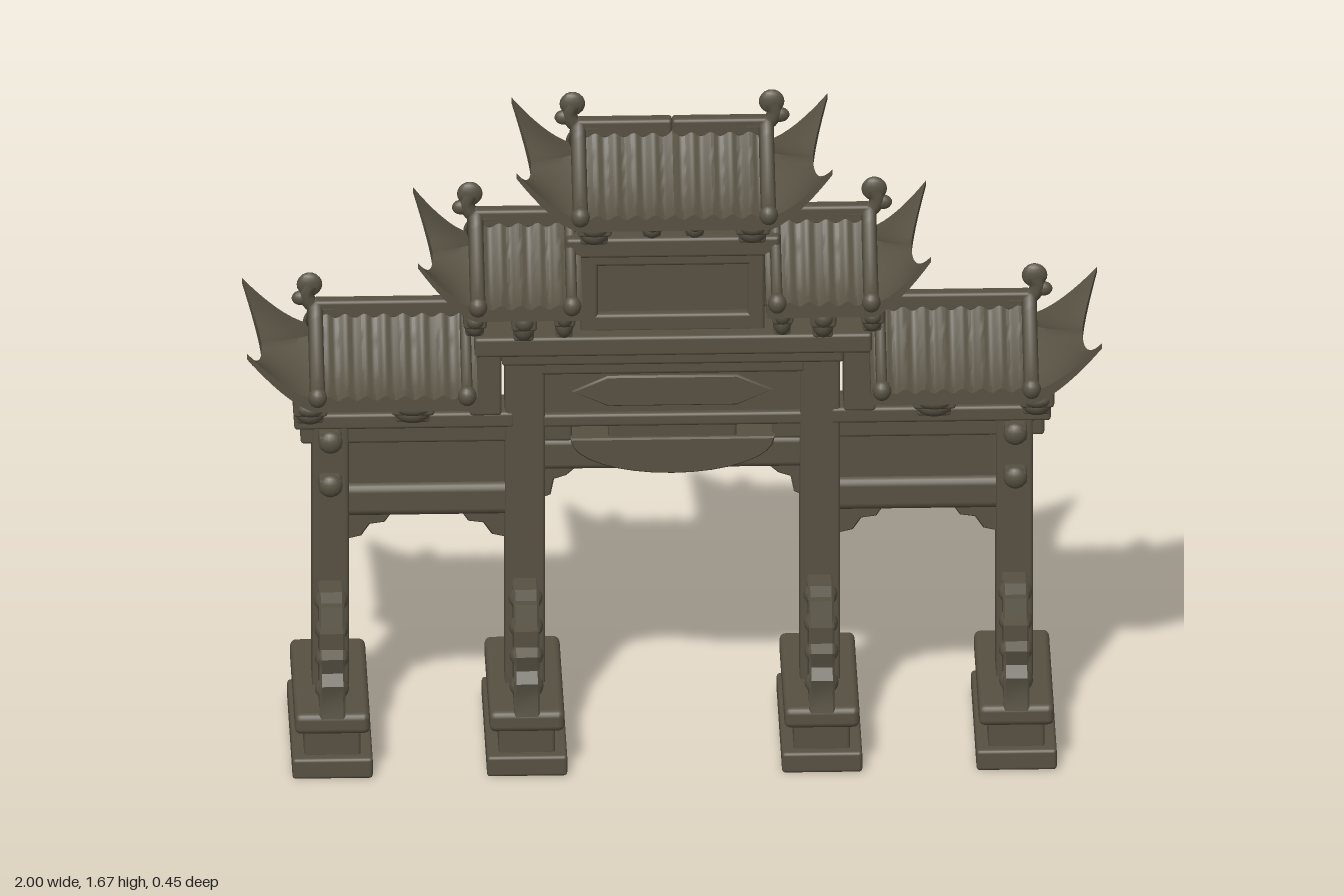
import * as THREE from 'three';
import { toCreasedNormals } from 'three/addons/utils/BufferGeometryUtils.js';
import { RoundedBoxGeometry } from 'three/addons/geometries/RoundedBoxGeometry.js';

const stone = new THREE.MeshStandardMaterial({ color: 0x575142 });
stone.name = 'weatheredStone';

function add(parent, name, geometry, x = 0, y = 0, z = 0) {
  const mesh = new THREE.Mesh(geometry, stone);
  mesh.name = name;
  mesh.position.set(x, y, z);
  parent.add(mesh);
  return mesh;
}

// Worn block given by its x and y limits and half depth
function block(parent, name, x0, x1, y0, y1, hz, r = 0.008) {
  const g = new RoundedBoxGeometry(x1 - x0, y1 - y0, hz * 2, 2, r);
  return add(parent, name, g, (x0 + x1) / 2, (y0 + y1) / 2, 0);
}

function knob(parent, name, x, y, z, sx, sy, sz) {
  const m = add(parent, name, new THREE.SphereGeometry(1, 14, 10), x, y, z);
  m.scale.set(sx, sy, sz);
  return m;
}

// Outline in x, y extruded evenly about z = 0
function plate(parent, name, points, hz) {
  const shape = new THREE.Shape(points.map(p => new THREE.Vector2(...p)));
  const g = new THREE.ExtrudeGeometry(shape, { depth: hz * 2 - 0.01, bevelSize: 0.004, bevelThickness: 0.005, bevelSegments: 1 });
  g.translate(0, 0, -hz + 0.005);
  return add(parent, name, toCreasedNormals(g, 0.6), 0, 0, 0);
}

// Skin over rings whose first half runs along the top and second half back below
function loft(rings) {
  const R = rings[0].length, S = rings.length, idx = [];
  const id = (s, i) => s * R + (i % R);
  for (let s = 0; s < S - 1; s++)
    for (let i = 0; i < R; i++)
      idx.push(id(s, i), id(s, i + 1), id(s + 1, i), id(s, i + 1), id(s + 1, i + 1), id(s + 1, i));
  for (let i = 0; i < R / 2 - 1; i++) {
    const j = R - 1 - i, e = S - 1;
    idx.push(id(0, i), id(0, j), id(0, i + 1), id(0, i + 1), id(0, j), id(0, j - 1));
    idx.push(id(e, i), id(e, i + 1), id(e, j), id(e, i + 1), id(e, j - 1), id(e, j));
  }
  const g = new THREE.BufferGeometry();
  g.setAttribute('position', new THREE.Float32BufferAttribute(rings.flat(2), 3));
  g.setIndex(idx);
  return toCreasedNormals(g, 0.7);
}

// Half of a hip-and-gable roof: ribbed slopes to the gable, then a skirt with upswept corners
function halfRoof(parent, inner, gable, tip, eave) {
  const W = 0.205, N = 20, rise = 0.14;
  const slope = s => Math.pow(1 - s, 1.4);
  const ring = (x, skirt) => {
    const d = skirt ? (x - gable) / (tip - gable) : 0, top = [], under = [];
    for (let i = 0; i <= N; i++) {
      const z = W * (2 * i / N - 1), s = Math.min(1, Math.abs(z) / W);
      const lift = 0.12 * Math.pow(d, 1.5) * (0.15 + 0.85 * s * s);
      const px = x - 0.04 * d * (1 - s * s);
      const rib = skirt ? 0 : 0.006 * Math.cos(x * Math.PI * 2 / 0.045);
      const h = skirt ? 0.07 * (1 - 0.6 * d) : rise;
      top.push([px, eave + h * slope(s) + lift + rib, z]);
      under.unshift([px, eave - 0.035 * (1 - 0.6 * d) + 0.03 * (1 - s * s) * (1 - d) + lift, z]);
    }
    return top.concat(under);
  };
  const rings = [];
  const steps = Math.round((gable - inner) / 0.0075);
  for (let i = 0; i <= steps; i++) rings.push(ring(inner + (gable - inner) * i / steps, false));
  for (let i = 0; i <= 8; i++) rings.push(ring(gable + 0.002 + (tip - gable - 0.002) * i / 8, true));
  add(parent, 'roofTiles', loft(rings));

  // Main ridge
  block(parent, 'roofRidge', inner, gable, eave + 0.115, eave + 0.162, 0.017);

  // Sloping gable ridges with rounded ends
  for (const x of inner > 0 ? [gable - 0.005, inner + 0.025] : [gable - 0.005]) {
    const r = x > inner + 0.1 ? 0.018 : 0.013, pts = [];
    for (let i = -6; i <= 6; i++) pts.push(new THREE.Vector3(x, eave + 0.008 + rise * slope(Math.abs(i) / 6), i / 6 * 0.21));
    add(parent, 'gableRidge', new THREE.TubeGeometry(new THREE.CatmullRomCurve3(pts), 32, r, 8));
    for (const z of [-0.208, 0.208]) knob(parent, 'gableRidgeEnd', x, eave + 0.005, z, 0.022, 0.025, 0.02);
  }

  // Curled finial on the ridge end
  const curl = new THREE.CatmullRomCurve3([[-0.05, 0.14], [0, 0.145], [0.015, 0.175], [0.005, 0.2]]
    .map(p => new THREE.Vector3(gable + p[0], eave + p[1], 0)));
  add(parent, 'ridgeFinial', new THREE.TubeGeometry(curl, 14, 0.018, 8));
  knob(parent, 'finialHead', gable + 0.008, eave + 0.2, 0, 0.03, 0.03, 0.014);
  knob(parent, 'finialCurl', gable + 0.028, eave + 0.165, 0, 0.022, 0.018, 0.014);
}

// Bracket cluster carrying the eaves
function eaveBracket(parent, x, y0, y1, w, reach) {
  const h = y1 - y0;
  block(parent, 'bracketPost', x - w * 0.3, x + w * 0.3, y0 - 0.01, y1 + 0.05, 0.05);
  block(parent, 'bracketLowerArm', x - w * 0.4, x + w * 0.4, y0, y0 + h * 0.5, reach * 0.68);
  block(parent, 'bracketUpperArm', x - w / 2, x + w / 2, y0 + h * 0.5, y1 + 0.015, reach);
  for (const z of [-1, 1]) {
    knob(parent, 'bracketScroll', x, y0 + h * 0.45, z * reach * 0.72, w * 0.45, h * 0.36, 0.035);
    knob(parent, 'bracketTip', x, y0 + h * 0.75, z * reach * 0.95, w * 0.4, h * 0.25, 0.022);
  }
}

// Stepped base, post and scalloped bracing stones
function pillar(parent, x, hw, top) {
  block(parent, 'baseSlab', x - 0.094, x + 0.094, 0, 0.052, 0.22);
  block(parent, 'baseWaist', x - 0.066, x + 0.066, 0.045, 0.12, 0.195);
  block(parent, 'baseCap', x - 0.088, x + 0.088, 0.11, 0.162, 0.212, 0.015);
  block(parent, 'pillarPost', x - hw, x + hw, 0.15, top, 0.05);
  const edge = [[0.11, 0.43], [0.118, 0.405], [0.14, 0.405], [0.15, 0.36], [0.178, 0.355], [0.177, 0.315],
    [0.2, 0.3], [0.192, 0.262], [0.208, 0.235], [0.2, 0.2], [0.208, 0.155]];
  const outline = edge.concat(edge.map(p => [-p[0], p[1]]).reverse());
  plate(parent, 'bracingStone', outline, 0.03).rotation.y = Math.PI / 2;
  parent.children.at(-1).position.x = x;
  for (const z of [-1, 1]) {
    [[0.085, 0.4], [0.125, 0.345], [0.155, 0.285], [0.165, 0.21]].forEach(([k, y]) =>
      knob(parent, 'bracingScroll', x, y, z * k, 0.04, 0.034, 0.034));
  }
}

// Everything on the +x side; the same half turned about y makes the other
function half() {
  const g = new THREE.Group();
  pillar(g, 0.8, 0.043, 0.86);
  pillar(g, 0.345, 0.047, 1.05);

  // Side bay beams
  block(g, 'sideTopBeam', 0.37, 0.885, 0.825, 0.865, 0.052);
  block(g, 'sideUpperBeam', 0.37, 0.87, 0.785, 0.835, 0.044);
  block(g, 'sidePanel', 0.37, 0.79, 0.65, 0.8, 0.025);
  block(g, 'sideLowerBeam', 0.37, 0.79, 0.592, 0.675, 0.042, 0.02);
  plate(g, 'outerSpandrel', [[0.77, 0.61], [0.65, 0.61], [0.675, 0.575], [0.71, 0.57], [0.73, 0.54], [0.77, 0.53]], 0.026);
  plate(g, 'innerSpandrel', [[0.38, 0.61], [0.38, 0.53], [0.42, 0.54], [0.44, 0.57], [0.475, 0.575], [0.5, 0.61]], 0.026);
  plate(g, 'centreSpandrel', [[0.31, 0.73], [0.22, 0.715], [0.25, 0.69], [0.28, 0.68], [0.288, 0.64], [0.31, 0.63]], 0.026);
  for (const y of [0.695, 0.808]) {
    block(g, 'beamTenon', 0.775, 0.828, y - 0.018, y + 0.018, 0.09);
    for (const z of [-0.082, 0.082]) knob(g, 'tenonHead', 0.801, y, z, 0.028, 0.028, 0.018);
  }

  // Half of the centre beam ends beside the slots
  block(g, 'slotEnd', 0.235, 0.31, 0.78, 0.84, 0.035);

  // Three roof tiers with their brackets
  halfRoof(g, 0.46, 0.84, 1.0, 0.98);
  eaveBracket(g, 0.85, 0.865, 0.945, 0.08, 0.15);
  eaveBracket(g, 0.61, 0.865, 0.945, 0.1, 0.15);
  block(g, 'lowerRoofSupport', 0.4, 0.475, 0.86, 1.05, 0.06);
  halfRoof(g, 0.215, 0.465, 0.6, 1.21);
  eaveBracket(g, 0.465, 1.09, 1.175, 0.055, 0.16);
  eaveBracket(g, 0.35, 1.075, 1.175, 0.06, 0.16);
  eaveBracket(g, 0.255, 1.075, 1.175, 0.05, 0.14);
  block(g, 'middleRoofWall', 0.2, 0.43, 1.12, 1.22, 0.03);
  halfRoof(g, 0, 0.225, 0.37, 1.44);
  eaveBracket(g, 0.185, 1.32, 1.405, 0.08, 0.15);
  eaveBracket(g, 0.05, 1.335, 1.405, 0.055, 0.14);

  // Plaque frame side
  block(g, 'plaqueSideFrame', 0.175, 0.215, 1.07, 1.3, 0.062);
  return g;
}

export function createModel() {
  const model = new THREE.Group();
  model.name = 'memorialGateway';
  const right = half(), left = half();
  left.name = 'leftHalf';
  right.name = 'rightHalf';
  right.rotation.y = Math.PI;
  model.add(left, right);

  // Centre bay: lower beam with carved swag, slots, panelled beam and lintel
  block(model, 'centreLowerBeam', -0.31, 0.31, 0.705, 0.785, 0.036, 0.015);
  const swag = [];
  for (let i = 0; i <= 16; i++) {
    const a = Math.PI * i / 16;
    swag.push([-0.235 * Math.cos(a), 0.79 - 0.085 * Math.sin(a)]);
  }
  plate(model, 'carvedSwag', swag, 0.052);
  block(model, 'slotCentre', -0.15, 0.15, 0.77, 0.84, 0.04);
  block(model, 'centrePanel', -0.31, 0.31, 0.82, 1.04, 0.032);
  block(model, 'centrePanelLowerRail', -0.31, 0.31, 0.822, 0.855, 0.047);
  block(model, 'centrePanelUpperRail', -0.31, 0.31, 0.96, 1.0, 0.052);
  plate(model, 'centrePanelCarving', [[-0.23, 0.91], [-0.15, 0.875], [0.15, 0.875], [0.23, 0.91], [0.15, 0.945], [-0.15, 0.945]], 0.04);
  block(model, 'lintelMoulding', -0.4, 0.4, 0.995, 1.04, 0.075);
  block(model, 'lintel', -0.465, 0.465, 1.03, 1.08, 0.1);

  // Plaque below the top roof
  block(model, 'plaquePanel', -0.2, 0.2, 1.07, 1.31, 0.042);
  block(model, 'plaqueLowerFrame', -0.215, 0.215, 1.075, 1.12, 0.062);
  block(model, 'plaqueUpperFrame', -0.215, 0.215, 1.245, 1.285, 0.062);
  block(model, 'plaqueCornice', -0.25, 0.25, 1.275, 1.325, 0.08);
  return model;
}
